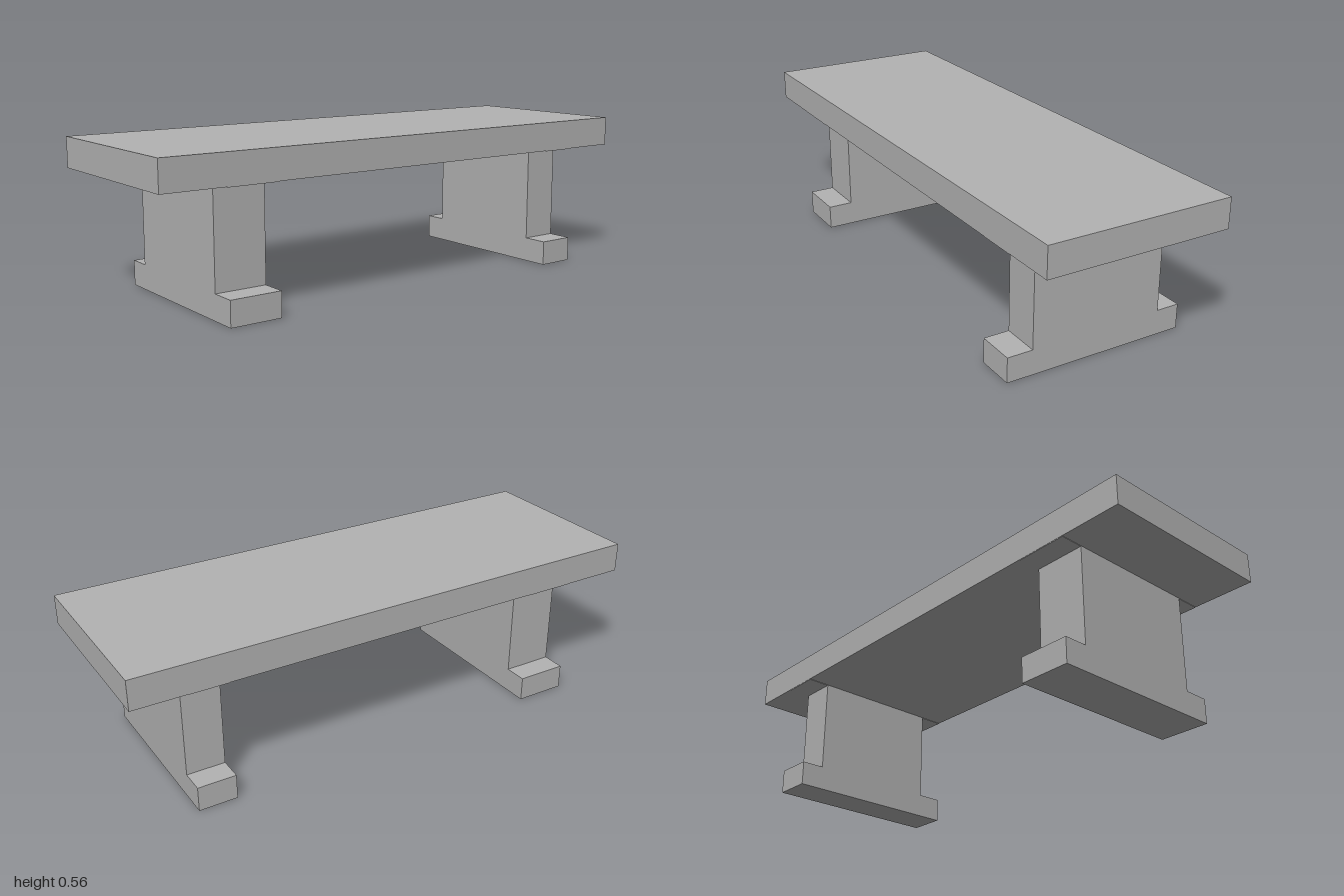
import * as THREE from 'three';

export function createModel() {
  const model = new THREE.Group();
  model.name = 'bench';
  const stone = new THREE.MeshStandardMaterial({ color: 0xb2b2b2 });
  stone.name = 'grey stone';

  // Flat slab seat
  const seatBottom = 0.453, seatTop = 0.563;
  const seat = new THREE.Mesh(new THREE.BoxGeometry(2, seatTop - seatBottom, 0.688), stone);
  seat.name = 'seat';
  seat.position.y = (seatTop + seatBottom) / 2;
  model.add(seat);

  // I-shaped leg profile (z, y); its top flange is let into the seat
  const profile = new THREE.Shape([
    [-0.344, 0], [0.344, 0], [0.344, 0.092], [0.249, 0.092],
    [0.249, 0.451], [0.343, 0.451], [0.343, 0.5], [-0.343, 0.5],
    [-0.343, 0.451], [-0.256, 0.451], [-0.256, 0.092], [-0.344, 0.092],
  ].map(([z, y]) => new THREE.Vector2(-z, y)).reverse());

  // Extrude the profile along x between two positions
  function addLeg(name, x0, x1) {
    const geometry = new THREE.ExtrudeGeometry(profile, { depth: x1 - x0, bevelEnabled: false });
    geometry.rotateY(Math.PI / 2);
    const leg = new THREE.Mesh(geometry, stone);
    leg.name = name;
    leg.position.x = x0;
    model.add(leg);
  }
  addLeg('rightLeg', -0.765, -0.572);
  addLeg('leftLeg', 0.657, 0.799);

  return model;
}
